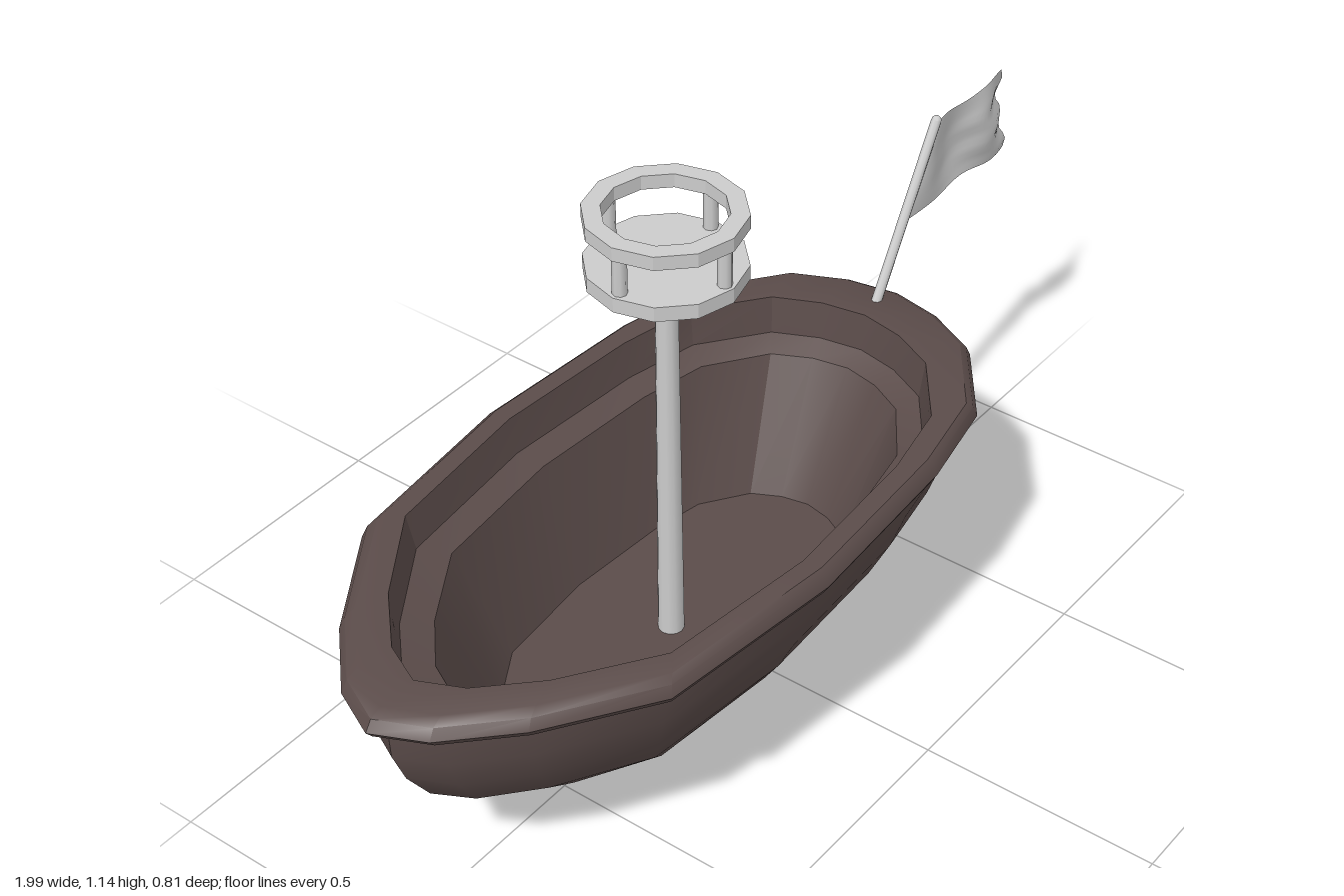
import * as THREE from 'three';
import { toCreasedNormals } from 'three/addons/utils/BufferGeometryUtils.js';

const wood = new THREE.MeshStandardMaterial({ color: 0x5b4c4a });
const grey = new THREE.MeshStandardMaterial({ color: 0xcccccc });
const cloth = new THREE.MeshStandardMaterial({ color: 0xcccccc, side: THREE.DoubleSide });

// Plan outline from bow to stern along one side, then mirrored back to the bow
const half = [[-1, 0], [-0.94, 0.25], [-0.79, 0.54], [-0.525, 0.89], [-0.025, 1],
  [0.46, 0.94], [0.71, 0.84], [0.91, 0.54], [0.975, 0.27], [1, 0]];
const outline = [...half, ...half.slice(1, -1).reverse().map(([x, z]) => [x, -z])];

// Skin over rings given as [bow x, stern x, half width, y]
function loft(rings, crease) {
  const n = outline.length, pos = [], index = [];
  for (const [bow, stern, w, y] of rings)
    for (const [u, v] of outline)
      pos.push((bow + stern) / 2 + u * (stern - bow) / 2, y, v * w);
  for (let r = 0; r < rings.length - 1; r++)
    for (let i = 0; i < n; i++) {
      const a = r * n + i, b = r * n + (i + 1) % n;
      index.push(a, b, b + n, a, b + n, a + n);
    }
  const g = new THREE.BufferGeometry();
  g.setAttribute('position', new THREE.Float32BufferAttribute(pos, 3));
  g.setIndex(index);
  return toCreasedNormals(g, crease);
}

function add(parent, name, geometry, material, x = 0, y = 0, z = 0) {
  const mesh = new THREE.Mesh(geometry, material);
  mesh.name = name;
  mesh.position.set(x, y, z);
  parent.add(mesh);
  return mesh;
}

export function createModel() {
  const boat = new THREE.Group();
  boat.name = 'boat';

  // Outer shell, keel upward
  add(boat, 'hull', loft([
    [-0.38, 0.0, 0, 0],
    [-0.46, 0.19, 0.09, 0.03],
    [-0.62, 0.34, 0.185, 0.105],
    [-0.74, 0.4, 0.24, 0.18],
    [-0.86, 0.46, 0.295, 0.265],
    [-0.915, 0.5, 0.335, 0.345],
    [-0.945, 0.53, 0.36, 0.42],
    [-0.95, 0.55, 0.378, 0.51],
  ], 0.8), wood);

  // Rounded gunwale, ending at its inner edge
  add(boat, 'gunwale', loft([
    [-0.94, 0.54, 0.37, 0.5],
    [-0.985, 0.59, 0.395, 0.5],
    [-1.0, 0.6, 0.405, 0.518],
    [-0.985, 0.59, 0.397, 0.54],
    [-0.96, 0.575, 0.385, 0.55],
    [-0.877, 0.475, 0.347, 0.55],
  ], 0.6), wood);

  // Inner wall, ledge, sloping side and floor
  add(boat, 'interior', loft([
    [-0.877, 0.475, 0.347, 0.55],
    [-0.86, 0.465, 0.335, 0.47],
    [-0.785, 0.42, 0.285, 0.45],
    [-0.64, 0.29, 0.213, 0.18],
    [-0.18, -0.17, 0, 0.18],
  ], 0.45), wood);

  // Mast
  const mx = -0.173, mz = 0.006;
  add(boat, 'mast', new THREE.CylinderGeometry(0.021, 0.026, 0.85, 12), grey, mx, 0.595, mz);

  // Lookout: solid floor, four posts, open top ring
  const nest = new THREE.Group();
  nest.name = 'lookout';
  nest.position.set(mx, 0, mz);
  boat.add(nest);
  const sharp = (g) => toCreasedNormals(g, 0.3);
  add(nest, 'lookoutFloor', sharp(new THREE.CylinderGeometry(0.15, 0.15, 0.03, 12)), grey, 0, 1.025, 0);
  const ring = [[0.115, -0.014], [0.15, -0.014], [0.15, 0.014], [0.115, 0.014], [0.115, -0.014]]
    .map(([r, y]) => new THREE.Vector2(r, y));
  add(nest, 'lookoutRail', sharp(new THREE.LatheGeometry(ring, 12)), grey, 0, 1.131, 0);
  for (let i = 0; i < 4; i++) {
    const a = i * Math.PI / 2;
    add(nest, 'lookoutPost', new THREE.CylinderGeometry(0.014, 0.014, 0.09, 8), grey,
      Math.cos(a) * 0.13, 1.08, Math.sin(a) * 0.13);
  }

  // Leaning flagpole at the stern
  const foot = new THREE.Vector3(0.525, 0.53, -0.013), tip = new THREE.Vector3(0.725, 0.88, -0.013);
  add(boat, 'flagpole', new THREE.TubeGeometry(new THREE.LineCurve3(foot, tip), 1, 0.011, 8), grey);
  add(boat, 'flagpoleCap', new THREE.SphereGeometry(0.011, 8, 6), grey, tip.x, tip.y, tip.z);

  // Rippled flag, its hoist edge following the pole
  const flag = new THREE.PlaneGeometry(1, 1, 24, 12);
  const p = flag.attributes.position;
  for (let i = 0; i < p.count; i++) {
    const u = p.getX(i) + 0.5, v = p.getY(i) + 0.5;
    const hoist = 0.62 + 0.1 * v;
    const fly = 0.985 + 0.009 * Math.sin(v * 17);
    const y = 0.69 + 0.185 * v + 0.005 * u * Math.sin(u * 13);
    const z = -0.013 + 0.022 * u ** 0.5 * Math.sin(u * 9 + v * 2.5) * (0.35 + 0.65 * Math.sin(v * Math.PI));
    p.setXYZ(i, hoist + (fly - hoist) * u, y, z);
  }
  flag.computeVertexNormals();
  add(boat, 'flag', flag, cloth);

  return boat;
}
